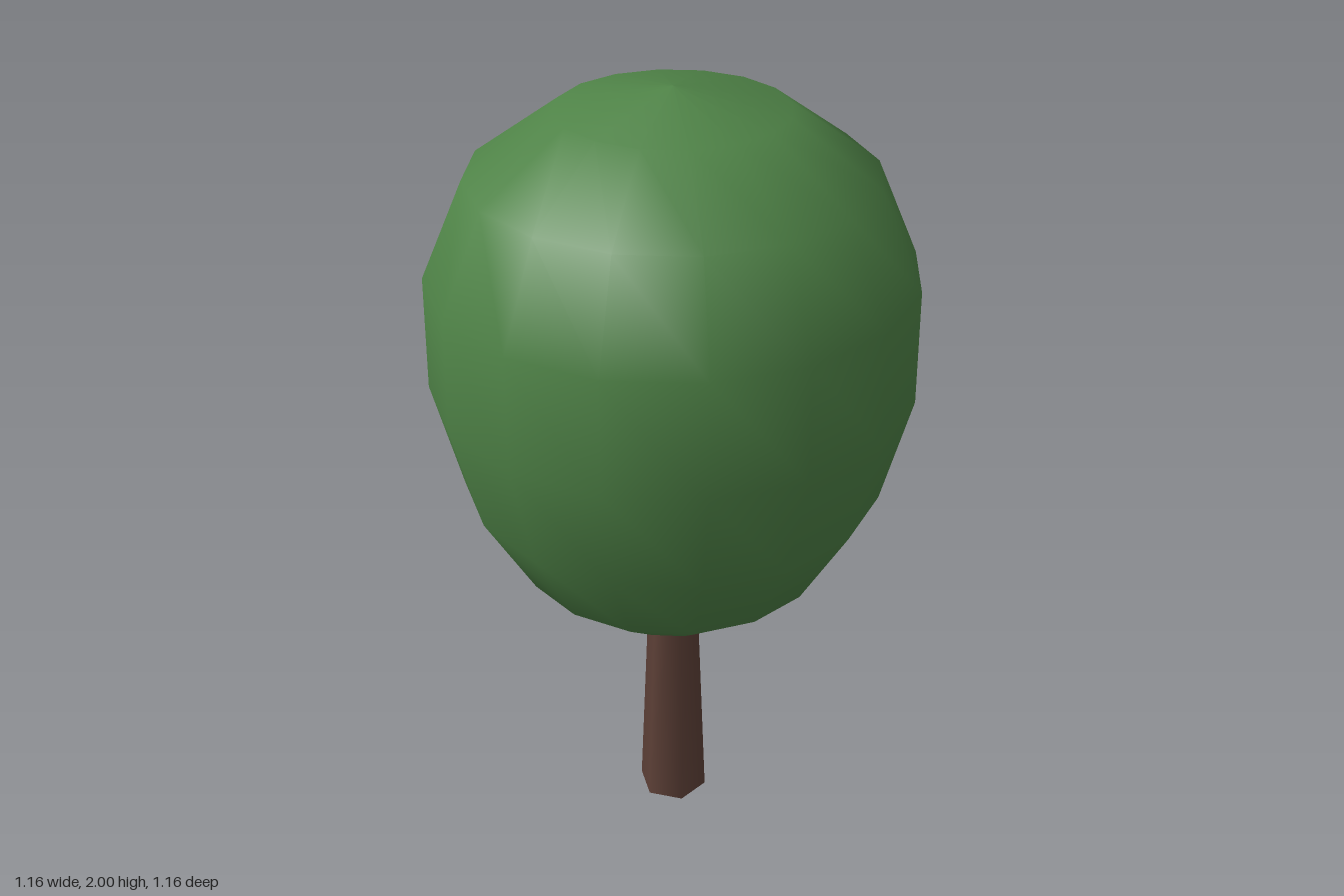
import * as THREE from 'three';

export function createModel() {
  const tree = new THREE.Group();
  tree.name = 'tree';
  const leafGreen = new THREE.MeshStandardMaterial({ name: 'leafGreen', color: 0x4f8347 });
  const barkBrown = new THREE.MeshStandardMaterial({ name: 'barkBrown', color: 0x5d4037 });

  // Tapered six-sided trunk, corners on the x axis, top hidden in the crown
  const trunkHeight = 0.85;
  const trunkGeometry = new THREE.CylinderGeometry(0.057, 0.092, trunkHeight, 6);
  trunkGeometry.rotateY(Math.PI / 6);
  trunkGeometry.translate(0, trunkHeight / 2, 0);
  const trunk = new THREE.Mesh(trunkGeometry, barkBrown);
  trunk.name = 'trunk';

  // Egg-shaped crown: radius and height of each ring, from bottom to top
  const profile = [
    [0, 0.625], [0.207, 0.66], [0.388, 0.805], [0.513, 1.027], [0.58, 1.3],
    [0.573, 1.578], [0.47, 1.807], [0.265, 1.951], [0, 2],
  ].map(([r, y]) => new THREE.Vector2(r, y));
  const crown = new THREE.Mesh(new THREE.LatheGeometry(profile, 16), leafGreen);
  crown.name = 'crown';

  tree.add(trunk, crown);
  return tree;
}
